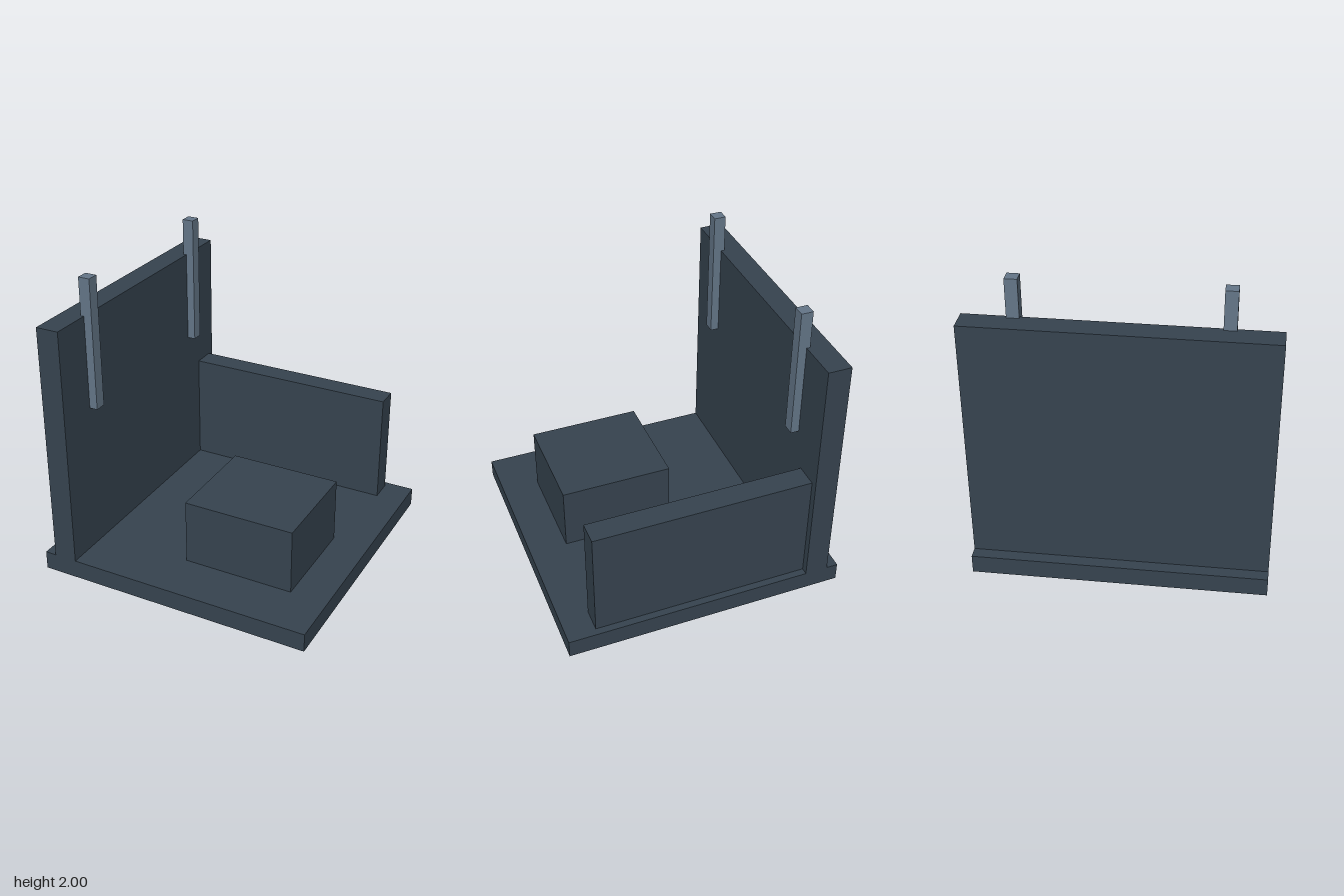
import * as THREE from 'three';

export function createModel() {
  const model = new THREE.Group();
  model.name = 'walledPlatform';

  const darkSlate = new THREE.MeshStandardMaterial({ name: 'darkSlate', color: 0x36434f });
  const paleSlate = new THREE.MeshStandardMaterial({ name: 'paleSlate', color: 0x647688 });

  // Box given by its extents along each axis
  function addBox(name, material, [x0, x1], [y0, y1], [z0, z1]) {
    const mesh = new THREE.Mesh(new THREE.BoxGeometry(x1 - x0, y1 - y0, z1 - z0), material);
    mesh.position.set((x0 + x1) / 2, (y0 + y1) / 2, (z0 + z1) / 2);
    mesh.name = name;
    model.add(mesh);
  }

  const half = 0.9375;
  const floor = 0.125;

  // Square slab with a tall wall on one side and a low wall at the back
  addBox('base', darkSlate, [-half, half], [0, floor], [-half, half]);
  addBox('tallWall', darkSlate, [-0.86, -0.705], [floor, 1.75], [-half, half]);
  addBox('lowWall', darkSlate, [-0.705, 0.745], [floor, 0.878], [-0.89, -0.735]);

  // Free-standing block
  addBox('block', darkSlate, [-0.065, 0.685], [floor, 0.565], [-0.095, 0.593]);

  // Pair of posts set into the tall wall
  for (const [name, z] of [['frontPost', 0.625], ['backPost', -0.625]]) {
    addBox(name, paleSlate, [-0.728, -0.65], [1.125, 2], [z - 0.039, z + 0.039]);
  }

  return model;
}
